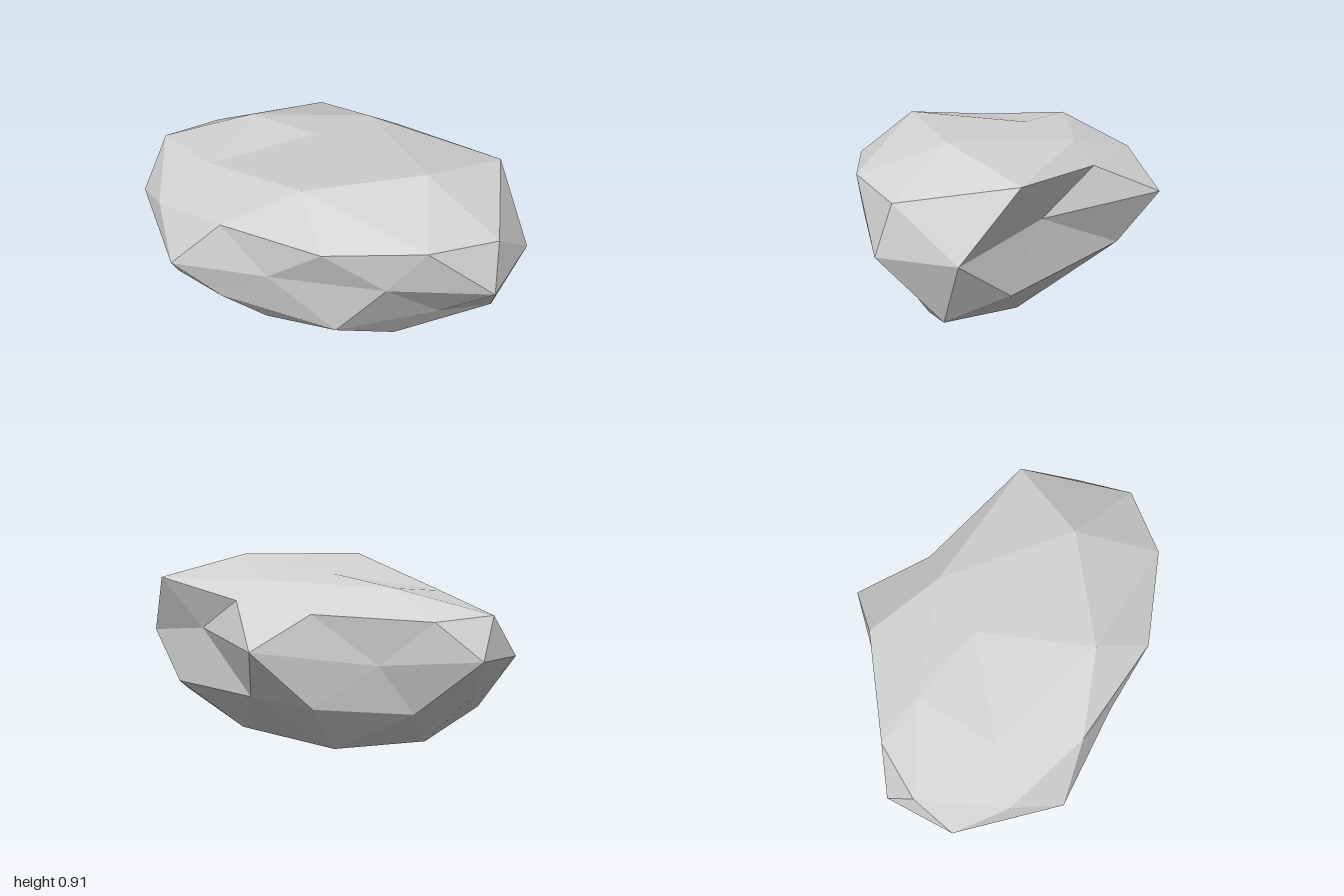
import * as THREE from 'three';
import { ConvexGeometry } from 'three/addons/geometries/ConvexGeometry.js';

// Corner points of the boulder, from front to back
const CORNERS = [
  // front end
  [-0.04, 0.48, 1.0], [0.03, 0.735, 0.955], [0.36, 0.49, 0.93], [0.22, 0.16, 0.84],
  [-0.295, 0.77, 0.78], [0.515, 0.805, 0.65], [-0.385, 0.53, 0.62], [-0.03, 0.205, 0.69],
  [0.44, 0.255, 0.61],
  // middle
  [0.05, 0.91, 0.53], [-0.42, 0.91, 0.145], [-0.57, 0.735, 0.38], [-0.46, 0.205, 0.38],
  [0.465, 0.563, 0.37], [0.545, 0.738, 0.0], [0.60, 0.30, -0.17], [-0.61, 0.485, 0.08],
  [0.07, 0.85, -0.17], [0.40, 0.83, -0.08], [-0.64, 0.69, -0.18], [-0.64, 0.235, -0.2],
  // underside
  [-0.11, 0.0, 0.48], [0.28, 0.035, 0.28], [-0.455, 0.045, -0.075], [-0.08, 0.03, -0.05],
  [0.275, 0.035, -0.40], [-0.18, 0.03, -0.57],
  // back end
  [0.75, 0.545, -0.34], [0.50, 0.71, -0.48], [0.48, 0.265, -0.47], [0.06, 0.807, -0.59],
  [-0.36, 0.76, -0.50], [-0.75, 0.40, -0.43], [-0.59, 0.58, -0.65], [-0.565, 0.155, -0.585],
  [0.24, 0.465, -0.66], [0.06, 0.22, -0.72], [0.065, 0.67, -0.845], [-0.25, 0.286, -0.82],
  [-0.24, 0.685, -0.94], [-0.45, 0.468, -0.91], [-0.10, 0.485, -1.0],
].map((c) => new THREE.Vector3(...c));

// Wrap a skin over the corners: join them up on a sphere, then move each back
// to its own place, so that shallow hollows are kept.
function wrapCorners(corners) {
  const centre = new THREE.Vector3(0, 0.45, 0);
  const radii = new THREE.Vector3(0.65, 0.45, 0.95);
  const onSphere = corners.map((c) => c.clone().sub(centre).divide(radii).normalize());
  const geometry = new ConvexGeometry(onSphere);
  const position = geometry.attributes.position;
  const p = new THREE.Vector3();
  for (let i = 0; i < position.count; i++) {
    p.fromBufferAttribute(position, i);
    let best = 0;
    onSphere.forEach((d, k) => {
      if (d.distanceToSquared(p) < onSphere[best].distanceToSquared(p)) best = k;
    });
    position.setXYZ(i, corners[best].x, corners[best].y, corners[best].z);
  }
  geometry.computeVertexNormals();
  return geometry;
}

export function createModel() {
  const stone = new THREE.MeshStandardMaterial({ color: 0xd3d3d3, flatShading: true });
  stone.name = 'grey stone';

  const boulder = new THREE.Mesh(wrapCorners(CORNERS), stone);
  boulder.name = 'boulder';

  const model = new THREE.Group();
  model.name = 'rock';
  model.add(boulder);
  return model;
}
